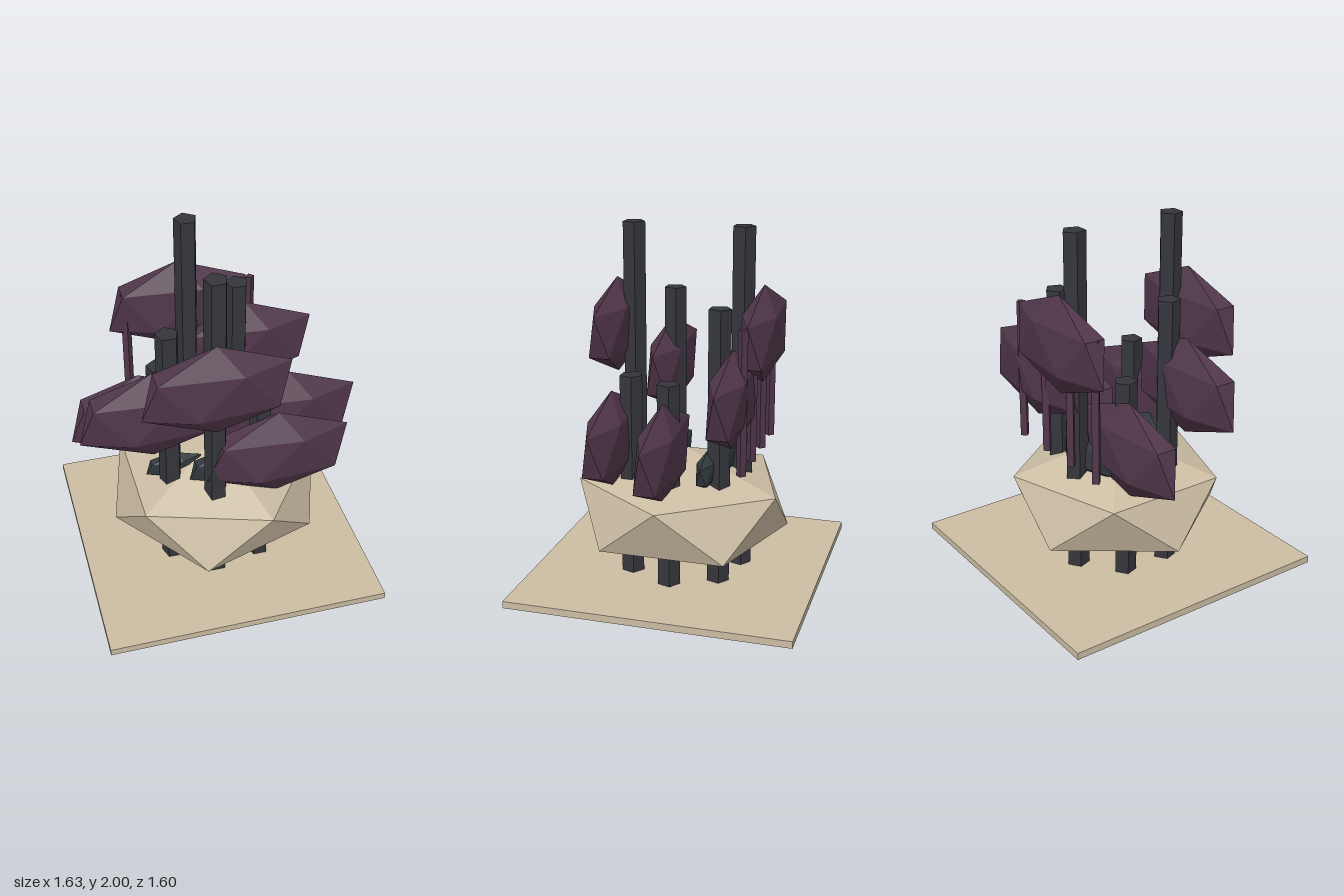
import * as THREE from 'three';
import { ConvexGeometry } from 'three/addons/geometries/ConvexGeometry.js';

const CX = -0.02; // centre of the whole arrangement in x

function makeMaterial(name, color) {
  const m = new THREE.MeshStandardMaterial({ color });
  m.name = name;
  return m;
}

// Twenty-sided lump standing on a vertex, stretched to three radii
function lump(rx, ry, rz) {
  const pts = [new THREE.Vector3(0, ry, 0), new THREE.Vector3(0, -ry, 0)];
  const h = 1 / Math.sqrt(5), r = 2 * h;
  for (let k = 0; k < 5; k++) {
    const a = (k * 2 * Math.PI) / 5, b = a + Math.PI / 5;
    pts.push(new THREE.Vector3(rx * r * Math.cos(a), ry * h, rz * r * Math.sin(a)));
    pts.push(new THREE.Vector3(rx * r * Math.cos(b), -ry * h, rz * r * Math.sin(b)));
  }
  return new ConvexGeometry(pts);
}

// Faceted upright prism between two heights, one corner facing the back
function prism(radius, y0, y1, sides) {
  const g = new THREE.CylinderGeometry(radius, radius, y1 - y0, sides).toNonIndexed();
  g.rotateY(Math.PI);
  g.translate(0, (y0 + y1) / 2, 0);
  g.computeVertexNormals();
  return g;
}

export function createModel() {
  const model = new THREE.Group();
  model.name = 'rockGarden';

  const sand = makeMaterial('sandstone', 0xcbbda3);
  const charcoal = makeMaterial('charcoal', 0x35363c);
  const plum = makeMaterial('plum', 0x50364a);
  const slate = makeMaterial('slate', 0x333a40);

  const add = (name, geometry, material, x, y, z) => {
    const mesh = new THREE.Mesh(geometry, material);
    mesh.name = name;
    mesh.position.set(x, y, z);
    model.add(mesh);
  };

  // Ground slab and central boulder
  add('groundSlab', new THREE.BoxGeometry(1.6, 0.04, 1.6), sand, CX, 0.02, 0);
  add('boulder', lump(0.67, 0.335, 0.67), sand, CX, 0.405, 0);

  // Ring of seven trunks, each with a flattened canopy just outside it
  const heights = [1.2, 1.2, 2, 1.6, 1.2, 2, 1.6];
  const canopy = lump(0.447, 0.275, 0.112);
  heights.forEach((h, k) => {
    const a = (k * 2 * Math.PI) / 7, c = Math.cos(a), s = Math.sin(a);
    add('trunk' + (k + 1), prism(0.065, 0.02, h, 5), charcoal, CX + 0.32 * c, 0, 0.32 * s);
    add('canopy' + (k + 1), canopy, plum, CX + 0.435 * c, 0.7 * h + 0.005, 0.435 * s);
  });

  // Row of thin posts along the back
  const post = prism(0.027, 0.72, 1.525, 4);
  for (let i = 0; i < 4; i++) add('post' + (i + 1), post, plum, 0.3 - 0.24 * i, 0, -0.406);

  // Small dark stones resting on the boulder: position, then radii
  [
    [0.195, 0.695, -0.19, 0.18, 0.11, 0.055],
    [-0.28, 0.665, 0.09, 0.18, 0.09, 0.045],
    [-0.04, 0.7, 0.22, 0.2, 0.12, 0.055],
    [-0.09, 0.71, -0.23, 0.25, 0.13, 0.07],
  ].forEach(([x, y, z, rx, ry, rz], i) => add('stone' + (i + 1), lump(rx, ry, rz), slate, x, y, z));

  return model;
}
